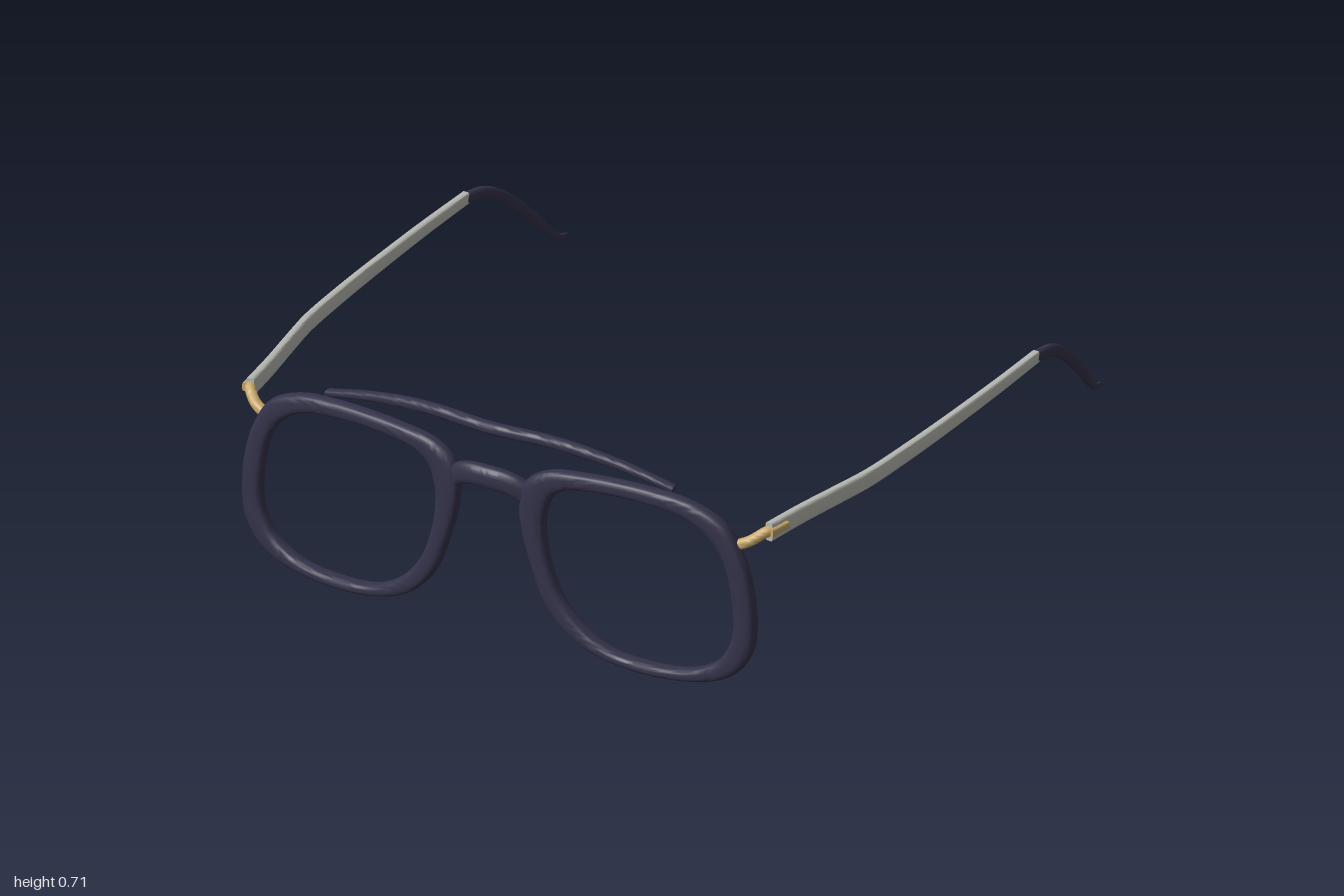
import * as THREE from 'three';
import { toCreasedNormals } from 'three/addons/utils/BufferGeometryUtils.js';

const V = (x, y, z) => new THREE.Vector3(x, y, z);

// Unit superellipse section: power 1 is an ellipse, smaller is boxier
function section(power, sides) {
  return Array.from({ length: sides }, (_, k) => {
    const a = ((k + 0.5) / sides) * Math.PI * 2;
    const f = (v) => Math.sign(v) * Math.abs(v) ** power;
    return [f(Math.cos(a)), f(Math.sin(a))];
  });
}

// Skin a list of rings; open lofts get end caps
function loft(rings, closed) {
  const n = rings[0].length, m = rings.length, pts = rings.flat(), idx = [];
  for (let i = 0; i < (closed ? m : m - 1); i++) {
    for (let j = 0; j < n; j++) {
      const a = i * n + j, b = i * n + (j + 1) % n;
      const c = ((i + 1) % m) * n + j, d = ((i + 1) % m) * n + (j + 1) % n;
      idx.push(a, b, c, b, d, c);
    }
  }
  if (!closed) {
    for (let j = 1; j < n - 1; j++) {
      const e = (m - 1) * n;
      idx.push(0, j + 1, j, e, e + j, e + j + 1);
    }
  }
  // Turn all faces outward
  let volume = 0;
  for (let i = 0; i < idx.length; i += 3) {
    volume += pts[idx[i]].dot(pts[idx[i + 1]].clone().cross(pts[idx[i + 2]]));
  }
  if (volume < 0) idx.reverse();
  const geo = new THREE.BufferGeometry().setFromPoints(pts);
  geo.setIndex(idx);
  return toCreasedNormals(geo, 0.75);
}

// Sweep a section along a curve; sizes lists [half width, half height] from start to end
function sweep(points, sizes, power = 0.7, steps = 40, sides = 16) {
  const curve = new THREE.CatmullRomCurve3(points), sec = section(power, sides), rings = [];
  for (let i = 0; i <= steps; i++) {
    const t = i / steps, p = curve.getPointAt(t), tan = curve.getTangentAt(t);
    const side = tan.clone().cross(V(0, 1, 0)).normalize();
    const up = side.clone().cross(tan);
    const s = t * (sizes.length - 1), k = Math.min(Math.floor(s), sizes.length - 2);
    const w = THREE.MathUtils.lerp(sizes[k][0], sizes[k + 1][0], s - k);
    const h = THREE.MathUtils.lerp(sizes[k][1], sizes[k + 1][1], s - k);
    rings.push(sec.map(([u, v]) => p.clone().addScaledVector(side, u * w).addScaledVector(up, v * h)));
  }
  return loft(rings, false);
}

// Rim outline: outer x, y and inner x, y
const RIM = [
  [0.51, 0.615, 0.51, 0.565], [0.67, 0.60, 0.655, 0.545], [0.78, 0.55, 0.74, 0.49],
  [0.84, 0.455, 0.785, 0.415], [0.87, 0.35, 0.805, 0.325], [0.88, 0.24, 0.813, 0.235],
  [0.87, 0.15, 0.80, 0.165], [0.82, 0.07, 0.76, 0.10], [0.725, 0.022, 0.67, 0.05],
  [0.54, 0.0, 0.54, 0.035], [0.38, 0.02, 0.405, 0.05], [0.275, 0.065, 0.31, 0.105],
  [0.195, 0.15, 0.24, 0.19], [0.145, 0.27, 0.20, 0.295], [0.115, 0.375, 0.186, 0.39],
  [0.105, 0.455, 0.19, 0.45], [0.125, 0.545, 0.213, 0.51], [0.19, 0.59, 0.25, 0.54],
  [0.33, 0.61, 0.33, 0.56],
];

function rim(side) {
  const outer = new THREE.CatmullRomCurve3(RIM.map((r) => V(r[0], r[1], 0)), true);
  const inner = new THREE.CatmullRomCurve3(RIM.map((r) => V(r[2], r[3], 0)), true);
  const sec = section(0.65, 20), rings = [];
  for (let i = 0; i < 114; i++) {
    const o = outer.getPoint(i / 114), n = inner.getPoint(i / 114);
    rings.push(sec.map(([u, v]) => {
      const p = n.clone().lerp(o, (u + 1) / 2);
      // Rims sweep gently back towards the temples
      return V(p.x * side, p.y, 0.96 - 0.055 * p.x - 0.015 * p.x * p.x + v * 0.026);
    }));
  }
  return loft(rings, true);
}

export function createModel() {
  const group = new THREE.Group();
  const mat = (name, color) => {
    const m = new THREE.MeshStandardMaterial({ color });
    m.name = name;
    return m;
  };
  const navy = mat('dark navy acetate', 0x35334a);
  const silver = mat('silver', 0xb9b9b3);
  const gold = mat('gold', 0xc8a86c);
  const add = (name, geo, material) => {
    const mesh = new THREE.Mesh(geo, material);
    mesh.name = name;
    group.add(mesh);
  };

  // Nose bridge
  add('noseBridge', sweep([
    V(-0.16, 0.45, 0.94), V(-0.12, 0.495, 0.95), V(-0.07, 0.522, 0.963), V(0, 0.528, 0.968),
    V(0.07, 0.522, 0.963), V(0.12, 0.495, 0.95), V(0.16, 0.45, 0.94),
  ], [[0.022, 0.034], [0.025, 0.035], [0.022, 0.034]]), navy);

  // Brow bar arching over both rims
  add('browBar', sweep([
    V(-0.595, 0.615, 0.893), V(-0.45, 0.65, 0.91), V(-0.32, 0.675, 0.93), V(-0.2, 0.688, 0.945),
    V(0, 0.688, 0.96),
    V(0.2, 0.688, 0.945), V(0.32, 0.675, 0.93), V(0.45, 0.65, 0.91), V(0.595, 0.615, 0.893),
  ], [[0.016, 0.01], [0.019, 0.017], [0.02, 0.018], [0.019, 0.017], [0.016, 0.01]], 0.7, 60), navy);

  for (const s of [1, -1]) {
    const label = s > 0 ? 'left' : 'right';
    add(label + 'Rim', rim(s), navy);

    // Hinge arm and the plate laid along the outside of the temple
    add(label + 'Hinge', sweep([
      V(s * 0.81, 0.485, 0.892), V(s * 0.85, 0.505, 0.882),
      V(s * 0.885, 0.53, 0.855), V(s * 0.899, 0.533, 0.83),
    ], [[0.017, 0.016], [0.016, 0.016]], 0.8, 16, 12), gold);
    add(label + 'HingePlate', sweep([
      V(s * 0.905, 0.532, 0.855), V(s * 0.91, 0.532, 0.82), V(s * 0.916, 0.532, 0.78),
    ], [[0.008, 0.014], [0.008, 0.012]], 0.5, 8, 12), gold);

    // Temple arm
    add(label + 'Temple', sweep([
      V(s * 0.892, 0.53, 0.845), V(s * 0.912, 0.53, 0.7), V(s * 0.943, 0.529, 0.52),
      V(s * 0.962, 0.528, 0.4), V(s * 0.974, 0.527, 0.2), V(s * 0.98, 0.526, 0),
      V(s * 0.983, 0.525, -0.3), V(s * 0.98, 0.524, -0.53),
    ], [[0.013, 0.03], [0.012, 0.026], [0.012, 0.019]], 0.35, 40, 16), silver);

    // Curved ear tip
    add(label + 'EarTip', sweep([
      V(s * 0.98, 0.524, -0.525), V(s * 0.973, 0.502, -0.62), V(s * 0.96, 0.445, -0.716),
      V(s * 0.944, 0.335, -0.84), V(s * 0.931, 0.25, -0.92), V(s * 0.924, 0.218, -0.96),
      V(s * 0.919, 0.208, -0.998),
    ], [[0.013, 0.019], [0.015, 0.02], [0.014, 0.018], [0.012, 0.016], [0.005, 0.007]], 0.75), navy);
  }
  return group;
}
